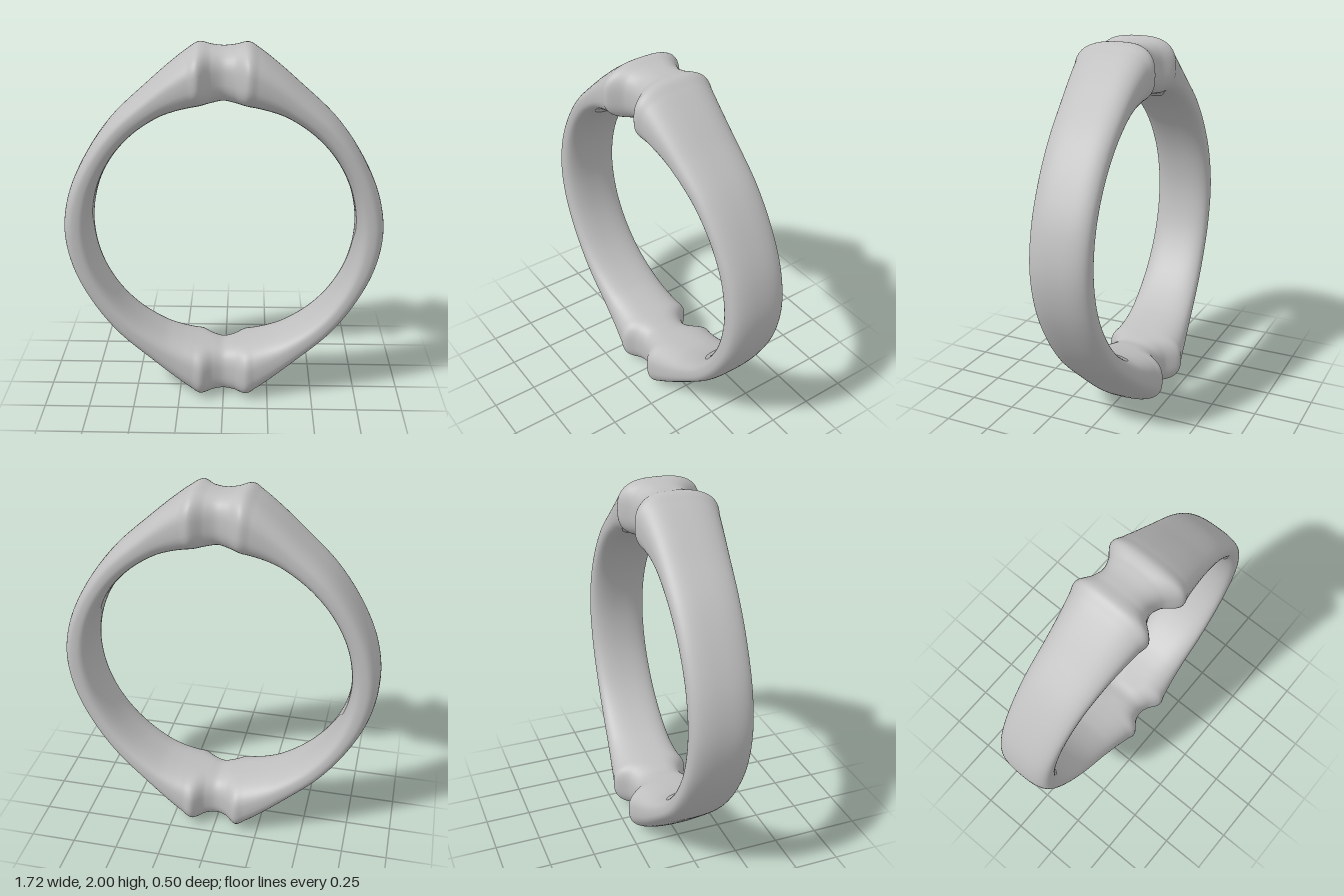
import * as THREE from 'three';

// Quarter profile from the crown to the side, relative to the ring centre:
// [outer x, outer y, inner x, inner y, front half width, back half width]
const QUARTER = [
  [0, 0.985, 0, 0.715, 0.165, 0.13],
  [0.06, 0.99, 0.06, 0.705, 0.185, 0.147],
  [0.13, 1.0, 0.12, 0.695, 0.25, 0.19],
  [0.19, 0.965, 0.17, 0.685, 0.24, 0.18],
  [0.28, 0.895, 0.25, 0.665, 0.225, 0.168],
  [0.4, 0.79, 0.335, 0.632, 0.208, 0.161],
  [0.6, 0.6, 0.47, 0.54, 0.186, 0.16],
  [0.74, 0.4, 0.59, 0.405, 0.173, 0.16],
  [0.83, 0.2, 0.68, 0.22, 0.166, 0.161],
  [0.862, 0, 0.715, 0, 0.163, 0.163],
];

// The lower half is the upper half turned over, so front and back swap;
// the left side mirrors the right.
function fullLoop() {
  const lower = QUARTER.slice(0, -1).reverse()
    .map(([ox, oy, ix, iy, f, b]) => [ox, -oy, ix, -iy, b, f]);
  const right = [...QUARTER, ...lower];
  const left = right.slice(1, -1).reverse()
    .map(([ox, oy, ix, iy, f, b]) => [-ox, oy, -ix, iy, f, b]);
  return [...right, ...left];
}

const closedCurve = (points) => new THREE.CatmullRomCurve3(points, true, 'centripetal');
const softPower = (v, e) => Math.sign(v) * Math.pow(Math.abs(v), e);

function bandGeometry(steps = 360, sides = 48) {
  const rows = fullLoop();
  const outer = closedCurve(rows.map((r) => new THREE.Vector3(r[0], r[1], 0)));
  const inner = closedCurve(rows.map((r) => new THREE.Vector3(r[2], r[3], 0)));
  // Width curve keeps the path in its first axis so its spacing stays even
  const front = closedCurve(rows.map((r) => new THREE.Vector3(r[0], r[1], r[4])));
  const back = closedCurve(rows.map((r) => new THREE.Vector3(r[0], r[1], r[5])));

  const positions = [];
  const index = [];
  const exponent = 2 / 2.7; // rounded-rectangle cross-section
  for (let i = 0; i < steps; i++) {
    const t = i / steps;
    const o = outer.getPoint(t);
    const n = inner.getPoint(t);
    const f = front.getPoint(t).z;
    const b = back.getPoint(t).z;
    for (let j = 0; j < sides; j++) {
      const a = (j / sides) * Math.PI * 2;
      const p = n.clone().lerp(o, 0.5 + 0.5 * softPower(Math.cos(a), exponent));
      const s = softPower(Math.sin(a), exponent);
      positions.push(p.x, p.y + 1, s * (s > 0 ? f : b));

      const i2 = (i + 1) % steps;
      const j2 = (j + 1) % sides;
      const p00 = i * sides + j, p01 = i * sides + j2;
      const p10 = i2 * sides + j, p11 = i2 * sides + j2;
      index.push(p00, p01, p10, p01, p11, p10);
    }
  }
  const geometry = new THREE.BufferGeometry();
  geometry.setAttribute('position', new THREE.Float32BufferAttribute(positions, 3));
  geometry.setIndex(index);
  geometry.computeVertexNormals();
  return geometry;
}

export function createModel() {
  const model = new THREE.Group();
  model.name = 'ring';
  const metal = new THREE.MeshStandardMaterial({ color: 0xc0c0c0 });
  metal.name = 'light grey';
  const band = new THREE.Mesh(bandGeometry(), metal);
  band.name = 'band';
  model.add(band);
  return model;
}
